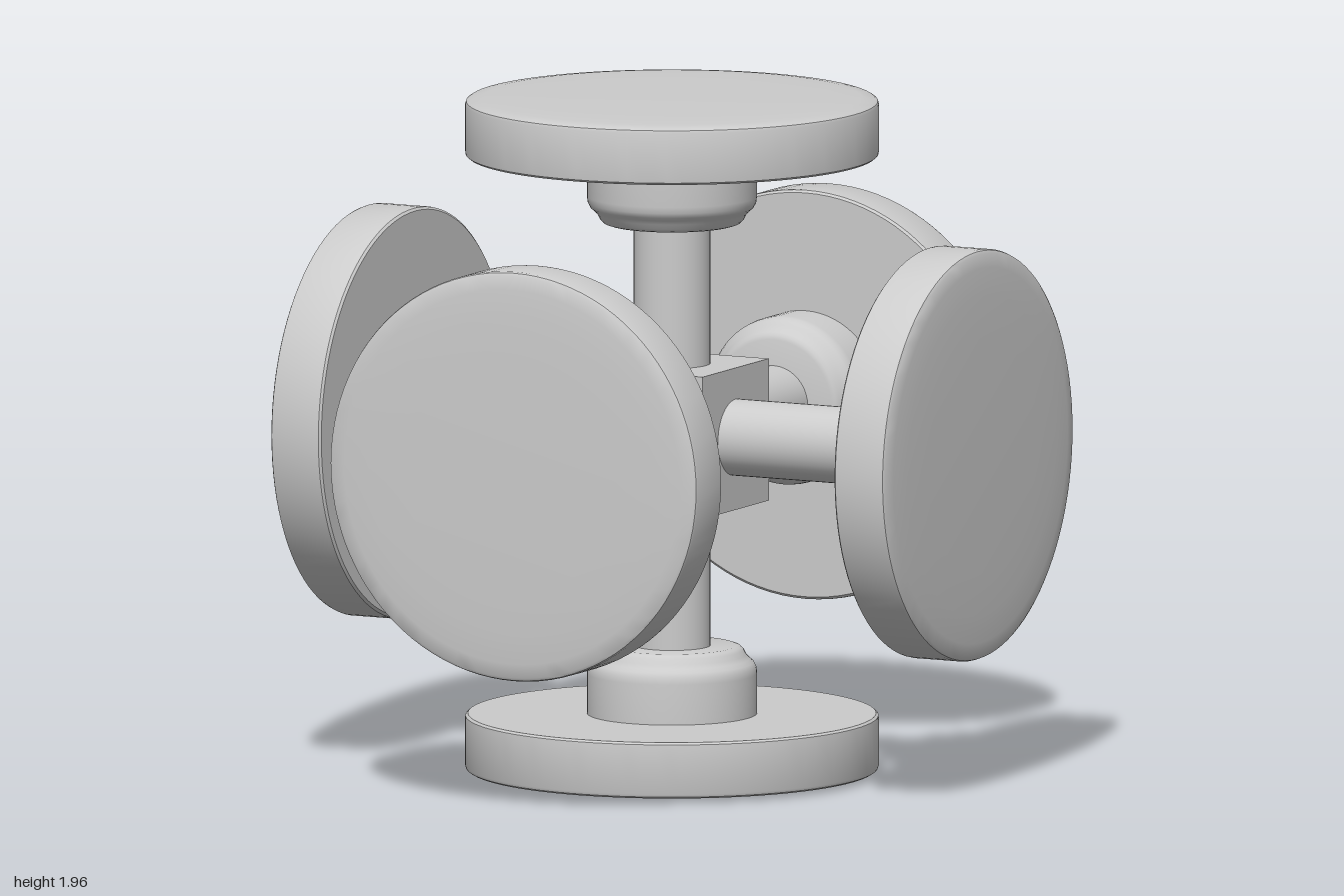
import * as THREE from 'three';
import { toCreasedNormals } from 'three/addons/utils/BufferGeometryUtils.js';

const material = new THREE.MeshStandardMaterial({ color: 0xcccccc });

// Revolve [radius, height] pairs, listed from bottom to top
function lathe(pairs, segments) {
  const points = pairs.map(([r, y]) => new THREE.Vector2(r, y));
  return toCreasedNormals(new THREE.LatheGeometry(points, segments), 0.6);
}

function add(parent, geometry, name) {
  const mesh = new THREE.Mesh(geometry, material);
  mesh.name = name;
  parent.add(mesh);
  return mesh;
}

export function createModel() {
  const model = new THREE.Group();
  model.name = 'sixDiscCross';
  const centreY = 0.98;

  // Central cube
  add(model, new THREE.BoxGeometry(0.41, 0.41, 0.41), 'centreCube').position.y = centreY;

  // Shared arm parts, built along +y
  const shaft = new THREE.CylinderGeometry(0.11, 0.11, 0.5, 40).translate(0, 0.43, 0);
  const hub = lathe([
    [0, 0.63], [0.185, 0.63], [0.197, 0.634], [0.205, 0.642], [0.212, 0.656],
    [0.222, 0.668], [0.234, 0.678], [0.241, 0.692], [0.243, 0.71], [0.243, 0.84],
  ], 64);
  const disc = lathe([
    [0, 0.826], [0.583, 0.826], [0.59, 0.832], [0.591, 0.84], [0.591, 0.975],
    [0.588, 0.983], [0.58, 0.988], [0.54, 0.993], [0.46, 0.997], [0.34, 1], [0, 1],
  ], 96);

  // One arm per axis direction; vertical arms sit slightly closer in
  const arms = [
    ['leftArm', [1, 0, 0]], ['rightArm', [-1, 0, 0]],
    ['topArm', [0, 1, 0]], ['bottomArm', [0, -1, 0]],
    ['frontArm', [0, 0, 1]], ['backArm', [0, 0, -1]],
  ];
  const up = new THREE.Vector3(0, 1, 0);
  for (const [name, axis] of arms) {
    const direction = new THREE.Vector3(...axis);
    const arm = new THREE.Group();
    arm.name = name;
    add(arm, shaft, 'shaft');
    add(arm, hub, 'hub');
    add(arm, disc, 'disc');
    arm.quaternion.setFromUnitVectors(up, direction);
    arm.position.set(0, axis[1] ? centreY - axis[1] * 0.021 : 0.985, 0);
    model.add(arm);
  }
  return model;
}
